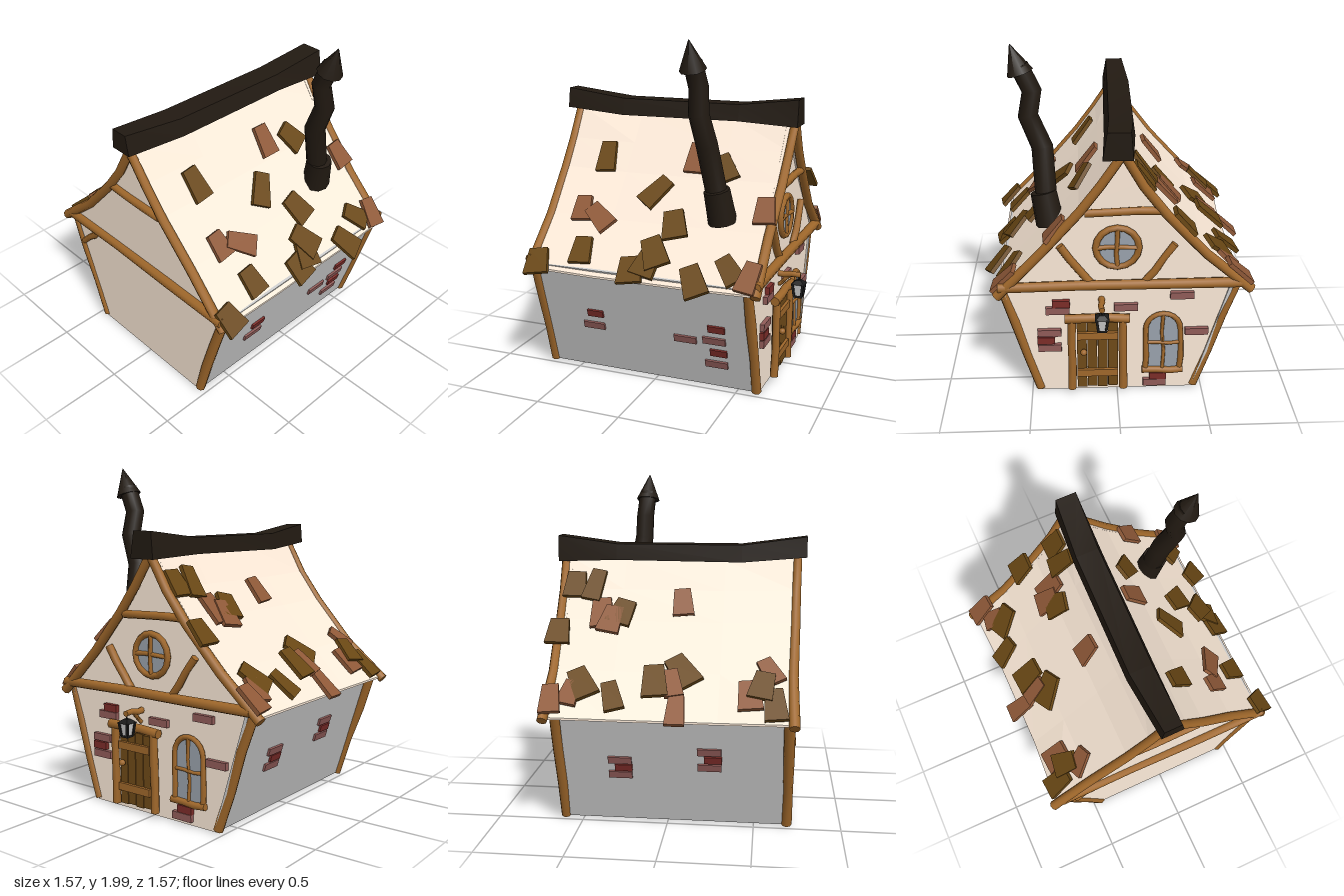
import * as THREE from 'three';
import { toCreasedNormals } from 'three/addons/utils/BufferGeometryUtils.js';

const V = (x, y, z) => new THREE.Vector3(x, y, z);
const mat = (color, flatShading = true) => new THREE.MeshStandardMaterial({ color, flatShading, side: THREE.DoubleSide });
const M = {
  plaster: mat(0xfdebd9), side: mat(0xffffff), wood: mat(0xa0682b, false), darkWood: mat(0x6f4a18),
  tile: mat(0x694714), redTile: mat(0x8f5938), black: mat(0x221a12, false), brick: mat(0x7d2d29),
  paleBrick: mat(0x915c59), glass: mat(0x9aa3ad), iron: mat(0x1c1c1c), lampGlass: mat(0xcccccc),
};

// Seeded noise in -1..1
let seed = 7;
const rnd = () => ((seed = (seed * 16807) % 2147483647) / 2147483647) * 2 - 1;

// Joins closed loops of points into a skin, with optional end caps
function skin(rings, caps = true) {
  const n = rings[0].length, idx = [], last = (rings.length - 1) * n;
  for (let i = 0; i < rings.length - 1; i++) for (let j = 0; j < n; j++) {
    const a = i * n + j, b = i * n + (j + 1) % n;
    idx.push(a, b, b + n, a, b + n, a + n);
  }
  if (caps) for (let j = 1; j < n - 1; j++) idx.push(0, j + 1, j, last, last + j, last + j + 1);
  const g = new THREE.BufferGeometry().setFromPoints(rings.flat());
  g.setIndex(idx);
  return toCreasedNormals(g, 0.9);
}

// Round pole with its own radius at every point of a path
function pole(pts, radii, sides = 8) {
  const dir = pts.at(-1).clone().sub(pts[0]).normalize();
  const ref = Math.abs(dir.z) > 0.7 ? V(0, 1, 0) : V(0, 0, 1);
  return skin(pts.map((p, i) => {
    const t = pts[Math.min(i + 1, pts.length - 1)].clone().sub(pts[Math.max(i - 1, 0)]).normalize();
    const u = ref.clone().cross(t).normalize(), v = t.clone().cross(u);
    return Array.from({ length: sides }, (_, k) => {
      const a = (k / sides) * Math.PI * 2;
      return p.clone().addScaledVector(u, radii[i] * Math.cos(a)).addScaledVector(v, radii[i] * Math.sin(a));
    });
  }));
}

// Roof outline, right eave to left eave
const profile = [[-0.74, 0.7], [-0.5, 0.92], [-0.27, 1.17], [-0.14, 1.34], [-0.03, 1.53],
  [0.09, 1.35], [0.21, 1.19], [0.42, 0.95], [0.68, 0.68]];
const peak = 4;
function roofAt(x) {
  let i = 0;
  while (i < profile.length - 2 && x > profile[i + 1][0]) i++;
  const [a, b] = [profile[i], profile[i + 1]], k = (b[1] - a[1]) / (b[0] - a[0]);
  return { y: a[1] + (x - a[0]) * k, slope: Math.atan(k) };
}

export function createModel() {
  const root = new THREE.Group();
  const add = (name, geo, m, x = 0, y = 0, z = 0, parent = root) => {
    const mesh = new THREE.Mesh(geo, m);
    mesh.name = name;
    mesh.position.set(x, y, z);
    parent.add(mesh);
    return mesh;
  };
  const group = (name) => {
    const g = new THREE.Group();
    g.name = name;
    root.add(g);
    return g;
  };
  const box = (name, w, h, d, m, x, y, z, parent) => add(name, new THREE.BoxGeometry(w, h, d), m, x, y, z, parent);
  // Slightly crooked timber between two points
  const beam = (name, a, b, r = 0.028) => {
    const pts = [0, 0.33, 0.67, 1].map((t) => V(...a).lerp(V(...b), t));
    pts.slice(1, 3).forEach((p) => p.add(V(rnd() * 0.007, rnd() * 0.007, rnd() * 0.005)));
    return add(name, pole(pts, pts.map(() => r * (1 + rnd() * 0.1))), M.wood);
  };

  // Leaning side walls
  for (const s of [1, -1]) {
    box(s > 0 ? 'leftWall' : 'rightWall', 0.02, 0.71, 1.34, M.side, s * 0.553, 0.362, 0.035).rotation.z = -s * 0.29;
  }

  // Gable walls
  const gable = new THREE.Shape([[-0.45, 0.01], [0.45, 0.01], [0.65, 0.69], ...profile.slice(1, -1).reverse(), [-0.67, 0.72]]
    .map(([x, y]) => new THREE.Vector2(x, y)));
  add('frontWall', new THREE.ShapeGeometry(gable), M.plaster, 0, 0, 0.705);
  add('backWall', new THREE.ShapeGeometry(gable), M.plaster, 0, 0, -0.625);

  // Thin roof shell with a sagging middle
  add('roof', skin([[-0.67, 0], [-0.3, 0.025], [0.3, 0.03], [0.71, 0]].map(([z, sag]) => {
    const outer = profile.map(([x, y], i) => V(x + (i === 0 ? sag * 0.8 : 0), y - (i === peak ? sag : sag * 0.3), z));
    return [...outer.slice().reverse(), ...outer.map((p) => p.clone().add(V(0, -0.012, 0)))];
  }), false), M.plaster);

  // Ridge cap sections: z, centre x, half width, bottom, top
  add('ridgeCap', skin([[-0.71, 0, 0.082, 1.49, 1.645], [-0.35, -0.025, 0.088, 1.505, 1.6], [0.4, -0.043, 0.088, 1.5, 1.6], [0.78, -0.035, 0.068, 1.53, 1.65]]
    .map(([z, x, w, b, t]) => [V(x - w, b, z), V(x + w, b, z), V(x + w * 0.7, t, z), V(x - w * 0.85, t, z)])), M.black);

  // Timber frame of both gables
  for (const [side, z, post] of [['front', 0.715, 0.69], ['back', -0.66, -0.61]]) {
    beam(side + 'LeftPost', [0.45, 0.02, post], [0.655, 0.7, post], 0.03);
    beam(side + 'RightPost', [-0.45, 0.02, post], [-0.69, 0.72, post], 0.03);
    beam(side + 'TieBeam', [-0.7, 0.73, z], [0.67, 0.72, z], 0.029);
    beam(side + 'CollarBeam', [-0.25, 1.18, z], [0.18, 1.17, z], 0.024);
    const rake = (pts) => pole(pts.map(([x, y], i) => V(x, y - 0.015, z + [0, -0.008, 0.002, 0.006, 0.012][i] * Math.sign(z))),
      pts.map((_, i) => 0.03 - i * 0.001));
    add(side + 'RightRake', rake([[-0.76, 0.7], ...profile.slice(1, peak + 1)]), M.wood);
    add(side + 'LeftRake', rake(profile.slice(peak).reverse()), M.wood);
  }
  beam('frontBrace', [-0.61, 0.55, 0.71], [-0.44, 0.72, 0.71], 0.02);
  for (const s of [1, -1]) beam('backBrace', [s * 0.32, 0.97, -0.645], [s * 0.15, 0.735, -0.645], 0.022);

  // Loose shingles on the slopes: x, z, turn
  const shingles = group('shingles');
  const scatter = (places, m, w, d) => places.forEach(([x, z, turn], i) => {
    const { y, slope } = roofAt(x), lift = 0.02 + (i % 3) * 0.008;
    const t = box('shingle', w + rnd() * 0.025, 0.025, d + rnd() * 0.02, m, x, y + lift / Math.cos(slope), z, shingles);
    const p = t.geometry.attributes.position;
    for (let k = 0; k < p.count; k++) if (p.getX(k) * x < 0) p.setZ(k, p.getZ(k) * 0.75);
    t.rotation.set(0, turn, slope, 'ZYX');
  });
  scatter([
    [0.18, 0.44, 0.1], [0.32, 0.06, -0.6], [0.46, -0.11, 0.3], [0.6, 0.41, 0.1], [0.68, 0.66, 0.2], [0.59, -0.04, 0.5],
    [0.66, 0.08, 0.2], [0.63, -0.01, -0.2], [0.69, -0.31, 0.5], [0.61, -0.49, 0.7], [0.2, -0.32, 0.5],
    [-0.37, -0.65, 0], [-0.59, -0.47, 0.5], [-0.66, -0.29, 0.3], [-0.275, -0.29, -0.3], [-0.15, -0.59, 0],
    [-0.16, -0.47, -0.2], [-0.59, -0.06, 0.1], [-0.52, 0.09, 0.6], [-0.68, 0.61, 0.1], [-0.6, 0.54, -0.2],
  ], M.tile, 0.185, 0.135);
  scatter([
    [0.16, -0.13, 0], [0.42, 0.49, 0.1], [0.46, 0.36, 0.9], [0.35, -0.61, 0.1], [0.64, -0.61, -0.15],
    [-0.69, -0.63, 0.1], [-0.64, -0.53, -0.2], [-0.27, -0.41, 0.1], [-0.31, -0.35, -0.2],
    [-0.71, 0.07, 0], [-0.59, 0.04, 0.2], [-0.235, 0.065, 0.1], [-0.63, 0.47, 0.1], [-0.52, 0.58, 0.5],
  ], M.redTile, 0.17, 0.125);

  // Crooked stovepipe with collar and pointed cap
  add('chimneyCollar', pole([V(0.375, 0.98, -0.37), V(0.41, 1.17, -0.345)], [0.083, 0.075], 10), M.black);
  add('chimneyPipe', pole([V(0.39, 1.05, -0.36), V(0.41, 1.42, -0.285), V(0.485, 1.6, -0.265), V(0.46, 1.74, -0.255), V(0.525, 1.88, -0.245)],
    [0.062, 0.062, 0.058, 0.056, 0.054], 10), M.black);
  add('chimneyCap', pole([V(0.52, 1.84, -0.245), V(0.572, 2, -0.24)], [0.076, 0.002], 10), M.black);

  // Stacks of bricks showing through the walls: position along wall, top, rows, step
  const bricks = group('bricks');
  const stack = ([along, top, rows, step], place) => {
    for (let i = 0; i < rows; i++) {
      const pale = (i + rows) % 2 === 1;
      const b = box('brick', pale ? 0.135 : 0.1, 0.043, 0.04, pale ? M.paleBrick : M.brick, 0, 0, 0, bricks);
      place(b, along + (i % 2) * 0.02, top - i * step);
    }
  };
  const onSide = (s) => (b, z, y) => {
    b.position.set(s * (0.448 + y * 0.298), y, z);
    b.rotation.set(0, Math.PI / 2, -s * 0.29, 'ZYX');
  };
  [[0.34, 0.41, 2, 0.085], [-0.215, 0.325, 1, 0], [-0.41, 0.42, 4, 0.08]].forEach((c) => stack(c, onSide(1)));
  [[0.25, 0.49, 3, 0.05], [-0.26, 0.42, 3, 0.047]].forEach((c) => stack(c, onSide(-1)));
  [[0.32, 0.6, 2, 0.045], [0.39, 0.41, 3, 0.05], [-0.05, 0.57, 1, 0], [-0.37, 0.64, 1, 0], [-0.46, 0.4, 1, 0], [-0.24, 0.1, 2, 0.045]]
    .forEach((c) => stack(c, (b, x, y) => b.position.set(x, y, -0.63)));

  // Plank door with frame, battens and knob
  for (let i = 0; i < 4; i++) box('doorPlank', 0.056, 0.43 + (i % 2) * 0.012, 0.025, M.darkWood, 0.025 + i * 0.06, 0.265, -0.645);
  for (const y of [0.15, 0.4]) box('doorBatten', 0.235, 0.045, 0.02, M.wood, 0.115, y, -0.665);
  for (const s of [-1, 1]) beam('doorPost', [0.115 + s * 0.15, 0.04, -0.66], [0.115 + s * 0.145, 0.51, -0.665], 0.024);
  beam('doorLintel', [-0.07, 0.51, -0.665], [0.3, 0.515, -0.665], 0.026);
  add('doorKnob', new THREE.IcosahedronGeometry(0.02, 1), M.wood, 0.195, 0.3, -0.685);

  // Arched window
  const arch = new THREE.Shape().moveTo(-0.1, 0).lineTo(0.1, 0).lineTo(0.1, 0.27).absarc(0, 0.27, 0.1, 0, Math.PI).lineTo(-0.1, 0);
  add('archedWindowGlass', new THREE.ExtrudeGeometry(arch, { depth: 0.015, bevelEnabled: false, curveSegments: 8 }), M.glass, -0.265, 0.15, -0.637);
  add('archedWindowHead', new THREE.TorusGeometry(0.1, 0.016, 6, 10, Math.PI), M.wood, -0.265, 0.42, -0.637);
  for (const s of [-1, 1]) beam('archedWindowJamb', [-0.265 + s * 0.1, 0.14, -0.637], [-0.265 + s * 0.1, 0.425, -0.637], 0.016);
  beam('archedWindowMullion', [-0.265, 0.15, -0.64], [-0.265, 0.52, -0.64], 0.011);
  beam('archedWindowBar', [-0.365, 0.33, -0.64], [-0.165, 0.33, -0.64], 0.011);
  beam('archedWindowSill', [-0.385, 0.145, -0.642], [-0.145, 0.145, -0.642], 0.02);

  // Round window in the back gable
  add('roundWindowGlass', new THREE.CylinderGeometry(0.115, 0.115, 0.015, 16), M.glass, 0, 0.95, -0.632).rotation.x = Math.PI / 2;
  add('roundWindowFrame', new THREE.TorusGeometry(0.12, 0.02, 6, 16), M.wood, 0, 0.95, -0.637);
  beam('roundWindowUpright', [0, 0.84, -0.642], [0, 1.06, -0.642], 0.013);
  beam('roundWindowBar', [-0.11, 0.95, -0.642], [0.11, 0.95, -0.642], 0.013);

  // Lantern on its bracket
  beam('lanternBracket', [0.09, 0.62, -0.61], [0.09, 0.622, -0.76], 0.018);
  beam('bracketBrace', [0.09, 0.55, -0.63], [0.09, 0.61, -0.69], 0.012);
  const lantern = group('lantern');
  lantern.position.set(0.09, 0.535, -0.75);
  lantern.rotation.y = Math.PI / 4;
  const cyl = (name, rt, rb, h, m, x, y, z, n = 4) => add(name, new THREE.CylinderGeometry(rt, rb, h, n), m, x, y, z, lantern);
  cyl('lampGlass', 0.042, 0.03, 0.075, M.lampGlass, 0, 0, 0);
  cyl('lampRoof', 0.02, 0.056, 0.022, M.iron, 0, 0.046, 0);
  cyl('lampBase', 0.036, 0.036, 0.012, M.iron, 0, -0.042, 0);
  cyl('lampHook', 0.005, 0.005, 0.04, M.iron, 0, 0.07, 0, 6);
  for (let i = 0; i < 4; i++) {
    const a = (i * Math.PI) / 2, bar = cyl('lampBar', 0.01, 0.01, 0.08, M.iron, Math.sin(a) * 0.037, 0, Math.cos(a) * 0.037);
    bar.rotation.set(Math.cos(a) * 0.16, 0, -Math.sin(a) * 0.16);
  }
  return root;
}
